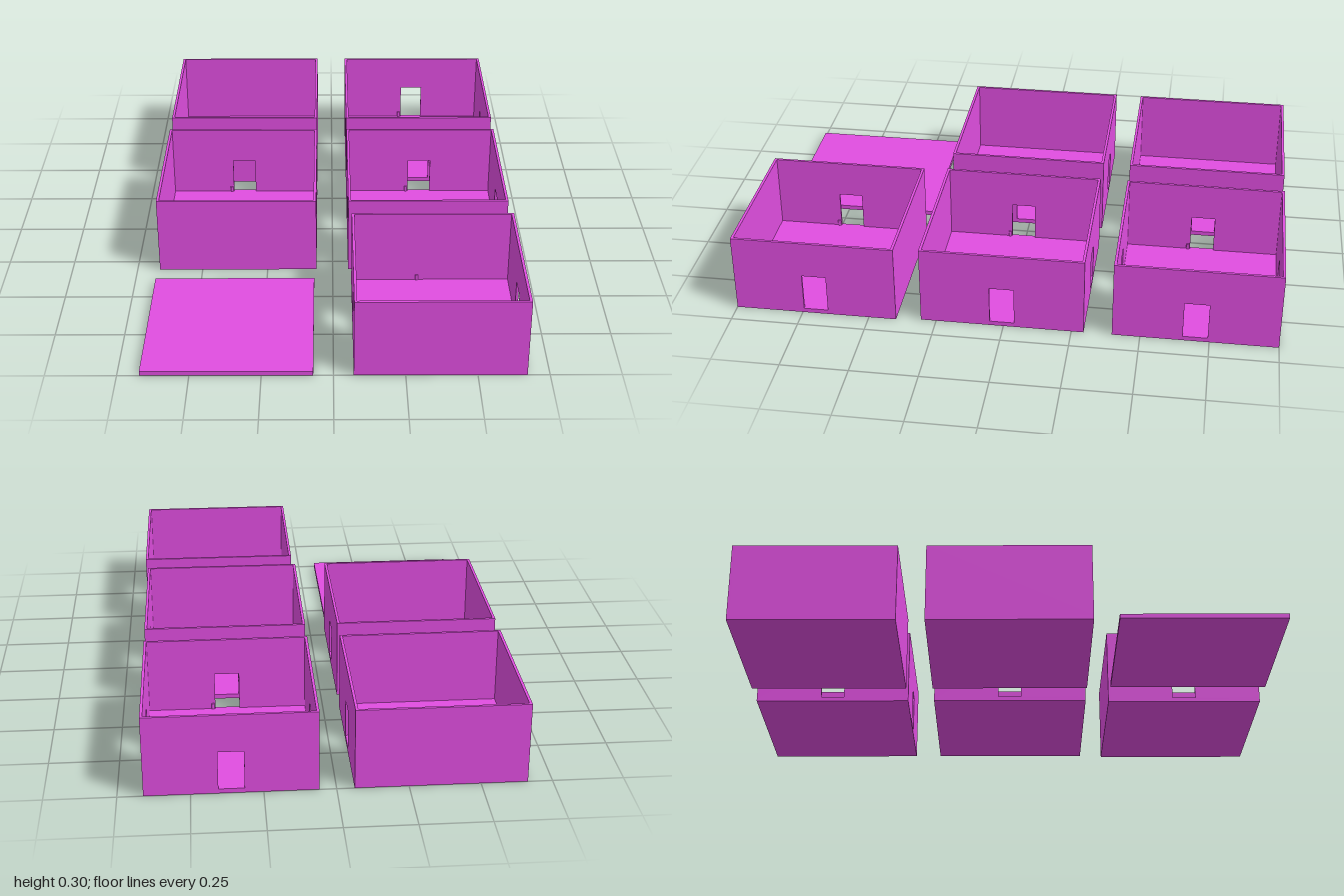
import * as THREE from 'three';

const SIZE = 0.602, HALF = SIZE / 2, HEIGHT = 0.3;
const WALL = 0.01, FLOOR = 0.017;
const DOOR_HALF = 0.045, DOOR_TOP = 0.16;

const material = new THREE.MeshStandardMaterial({ color: 0xe04ee0 });

function addMesh(parent, name, geometry, x = 0, y = 0, z = 0) {
  const mesh = new THREE.Mesh(geometry, material);
  mesh.name = name;
  mesh.position.set(x, y, z);
  parent.add(mesh);
  return mesh;
}

// Wall on the -z side, standing on the floor, optionally notched by a doorway.
// It stops one wall thickness short at +x so four turned copies interlock.
function wallGeometry(hasDoor) {
  const points = [[-HALF, FLOOR]];
  if (hasDoor) {
    points.push([-DOOR_HALF, FLOOR], [-DOOR_HALF, DOOR_TOP],
      [DOOR_HALF, DOOR_TOP], [DOOR_HALF, FLOOR]);
  }
  points.push([HALF - WALL, FLOOR], [HALF - WALL, HEIGHT], [-HALF, HEIGHT]);
  const shape = new THREE.Shape(points.map(([x, y]) => new THREE.Vector2(x, y)));
  return new THREE.ExtrudeGeometry(shape, { depth: WALL, bevelEnabled: false })
    .translate(0, 0, -HALF);
}

const SIDES = ['back', 'right', 'front', 'left']; // -z, +x, +z, -x in plan

function createRoom(name, x, z, doors, pegs = doors) {
  const room = new THREE.Group();
  room.name = name;
  room.position.set(x, 0, z);
  addMesh(room, 'floor', new THREE.BoxGeometry(SIZE, FLOOR, SIZE), 0, FLOOR / 2, 0);
  SIDES.forEach((side, i) => {
    const wall = new THREE.Group();
    wall.name = `${side}Wall`;
    wall.rotation.y = -i * Math.PI / 2;
    addMesh(wall, 'wallPanel', wallGeometry(doors.includes(side)));
    // Small peg on the floor beside the doorway
    if (pegs.includes(side)) {
      addMesh(wall, 'peg', new THREE.CylinderGeometry(0.006, 0.006, 0.022, 12),
        -0.054, FLOOR + 0.011, -HALF + WALL);
    }
    room.add(wall);
  });
  return room;
}

export function createModel() {
  const model = new THREE.Group();
  model.name = 'roomSet';

  // Open rooms, two columns by three rows, with one bare slab
  model.add(
    createRoom('backOuterRoom', -0.363, -0.699, ['right']),
    createRoom('middleOuterRoom', -0.363, 0.006, ['back', 'right']),
    createRoom('backRoom', 0.36, -0.699, SIDES),
    createRoom('middleRoom', 0.36, 0.006, ['back', 'right', 'left']),
    createRoom('frontRoom', 0.371, 0.699, ['right', 'left'], SIDES),
  );
  addMesh(model, 'slab', new THREE.BoxGeometry(SIZE, FLOOR, SIZE), -0.371, FLOOR / 2, 0.699);
  return model;
}
